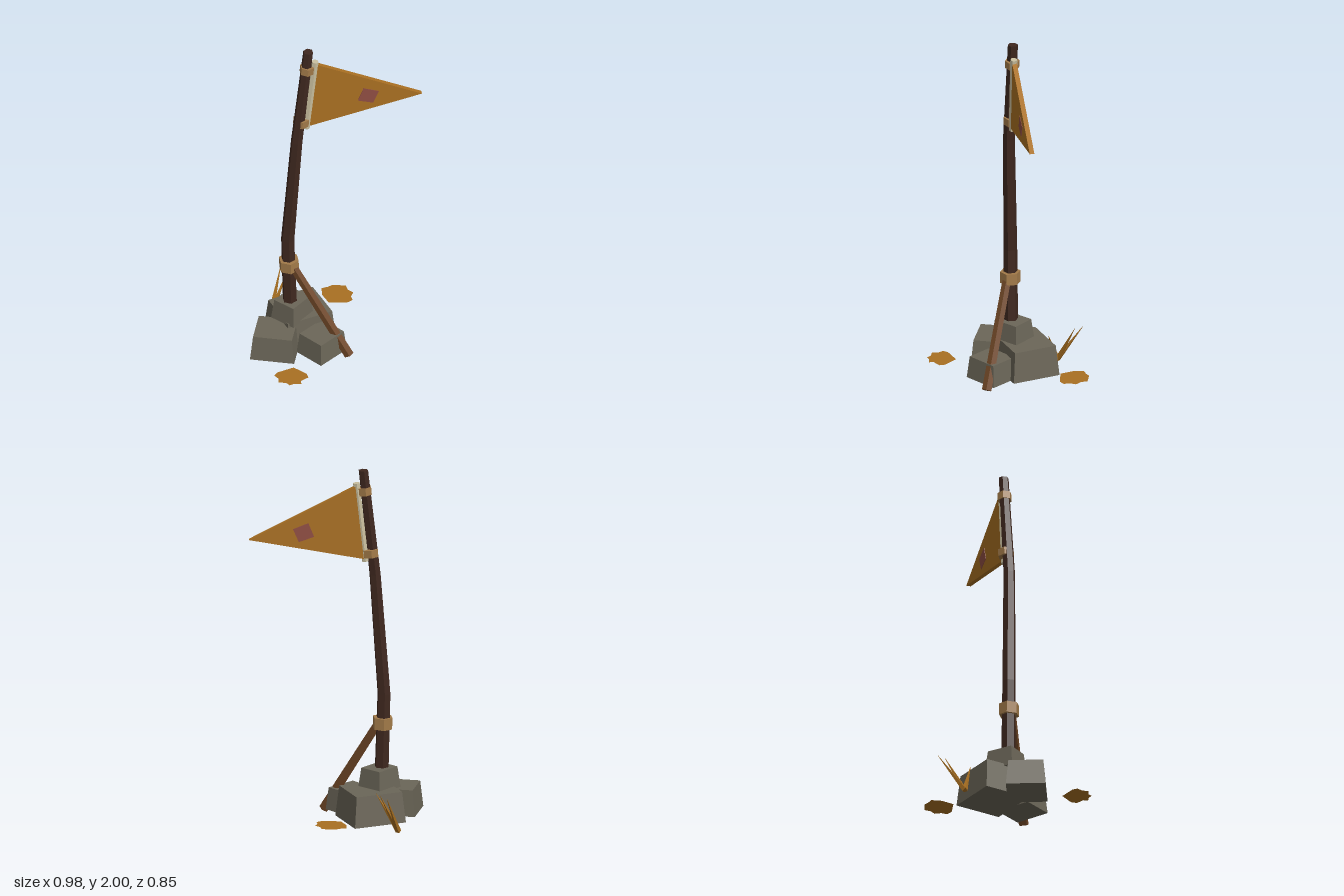
import * as THREE from 'three';

const mat = (name, color, side = THREE.FrontSide) => {
  const m = new THREE.MeshStandardMaterial({ color, flatShading: true, side });
  m.name = name;
  return m;
};

export function createModel() {
  const darkWood = mat('dark wood', 0x3f281f);
  const wood = mat('brown wood', 0x6e4626);
  const rope = mat('rope', 0xa27a49);
  const cream = mat('cream cloth', 0xc9bf9f);
  const ochre = mat('ochre', 0xa97022, THREE.DoubleSide);
  const patchRed = mat('patch red', 0x8f4d42);
  const stone = mat('stone', 0x6b6658);

  const model = new THREE.Group();
  model.name = 'raggedFlag';
  const add = (name, geometry, material) => {
    const mesh = new THREE.Mesh(geometry, material);
    mesh.name = name;
    model.add(mesh);
    return mesh;
  };
  const up = new THREE.Vector3(0, 1, 0);

  // Straight tapered rod between two points
  const rod = (name, from, to, r0, r1, sides, material) => {
    const a = new THREE.Vector3(...from), b = new THREE.Vector3(...to);
    const dir = b.clone().sub(a);
    const mesh = add(name, new THREE.CylinderGeometry(r1, r0, dir.length(), sides), material);
    mesh.position.copy(a).add(b).multiplyScalar(0.5);
    mesh.quaternion.setFromUnitVectors(up, dir.normalize());
    return mesh;
  };

  // Crooked pole: each ring of a cylinder is moved onto the path
  const path = [[-0.235, 0.03, -0.03, 0.042], [-0.255, 0.72, -0.03, 0.038],
    [-0.208, 1.4, -0.014, 0.033], [-0.142, 2, -0.025, 0.028]];
  const poleGeo = new THREE.CylinderGeometry(1, 1, 3, 6, 3);
  const pos = poleGeo.attributes.position;
  for (let i = 0; i < pos.count; i++) {
    const [x, y, z, r] = path[Math.round(pos.getY(i) + 1.5)];
    pos.setXYZ(i, x + pos.getX(i) * r, y, z + pos.getZ(i) * r);
  }
  add('pole', poleGeo, darkWood);

  // Leaning prop and rope bindings
  rod('prop', [0.052, 0.017, 0.152], [-0.235, 0.555, -0.01], 0.028, 0.024, 5, wood);
  rod('propBinding', [-0.247, 0.52, -0.028], [-0.249, 0.585, -0.028], 0.057, 0.057, 6, rope);
  rod('lowerFlagBinding', [-0.183, 1.505, -0.024], [-0.18, 1.548, -0.024], 0.045, 0.045, 6, rope);
  rod('upperFlagBinding', [-0.152, 1.86, -0.022], [-0.148, 1.903, -0.022], 0.04, 0.04, 6, rope);

  // Flag hem, pennant and sewn patch
  rod('flagHem', [-0.153, 1.48, -0.024], [-0.103, 1.928, -0.024], 0.02, 0.02, 6, cream);
  const slab = (name, points, depth, material) => {
    const shape = new THREE.Shape(points.map(p => new THREE.Vector2(...p)));
    const mesh = add(name, new THREE.ExtrudeGeometry(shape, { depth, bevelEnabled: false }), material);
    mesh.position.z = -0.026 - depth / 2;
    return mesh;
  };
  slab('pennant', [[-0.145, 1.495], [0.49, 1.63], [-0.098, 1.912]], 0.026, ochre);
  slab('patch', [[0.164, 1.714], [0.132, 1.635], [0.217, 1.608], [0.249, 1.683]], 0.031, patchRed);

  // Tapered stone blocks
  const rock = (name, x, z, w, d, turn, y0, y1, taper) => {
    const geo = new THREE.BoxGeometry(w, y1 - y0, d);
    const p = geo.attributes.position;
    for (let i = 0; i < p.count; i++) {
      if (p.getY(i) > 0) p.setXYZ(i, p.getX(i) * taper, p.getY(i), p.getZ(i) * taper);
    }
    const mesh = add(name, geo, stone);
    mesh.position.set(x, (y0 + y1) / 2, z);
    mesh.rotation.y = turn;
  };
  rock('backRock', -0.172, -0.098, 0.303, 0.275, 0.267, 0.025, 0.198, 0.89);
  rock('sideRock', -0.338, 0.045, 0.245, 0.218, -0.354, 0.025, 0.173, 0.88);
  rock('frontRock', -0.09, 0.1, 0.206, 0.184, 0.623, 0.025, 0.15, 0.88);
  rock('topRock', -0.228, -0.04, 0.175, 0.156, 0.717, 0.185, 0.302, 0.85);

  // Dry grass blades
  const tips = [[-0.218, 0.235, -0.426], [-0.187, 0.24, -0.376], [-0.184, 0.21, -0.229]];
  tips.forEach(tip => rod('grassBlade', [-0.298, 0.01, -0.298], tip, 0.016, 0.001, 4, ochre));

  // Flat fallen leaves, outlines given as x, z
  const leaf = (name, y, outline) => {
    const geo = new THREE.ShapeGeometry(new THREE.Shape(outline.map(([x, z]) => new THREE.Vector2(x, -z))));
    const mesh = add(name, geo, ochre);
    mesh.rotation.x = -Math.PI / 2;
    mesh.position.y = y;
  };
  leaf('backLeaf', 0.069, [[0.003, -0.395], [0.037, -0.4], [0.068, -0.413], [0.103, -0.403],
    [0.137, -0.392], [0.142, -0.353], [0.166, -0.324], [0.147, -0.292], [0.15, -0.258],
    [0.116, -0.242], [0.016, -0.263], [-0.006, -0.337]]);
  leaf('frontLeaf', 0.062, [[-0.279, 0.268], [-0.25, 0.3], [-0.218, 0.337], [-0.216, 0.371],
    [-0.263, 0.395], [-0.263, 0.421], [-0.3, 0.413], [-0.329, 0.421], [-0.345, 0.397],
    [-0.384, 0.384], [-0.379, 0.35], [-0.397, 0.318], [-0.374, 0.295]]);

  return model;
}
